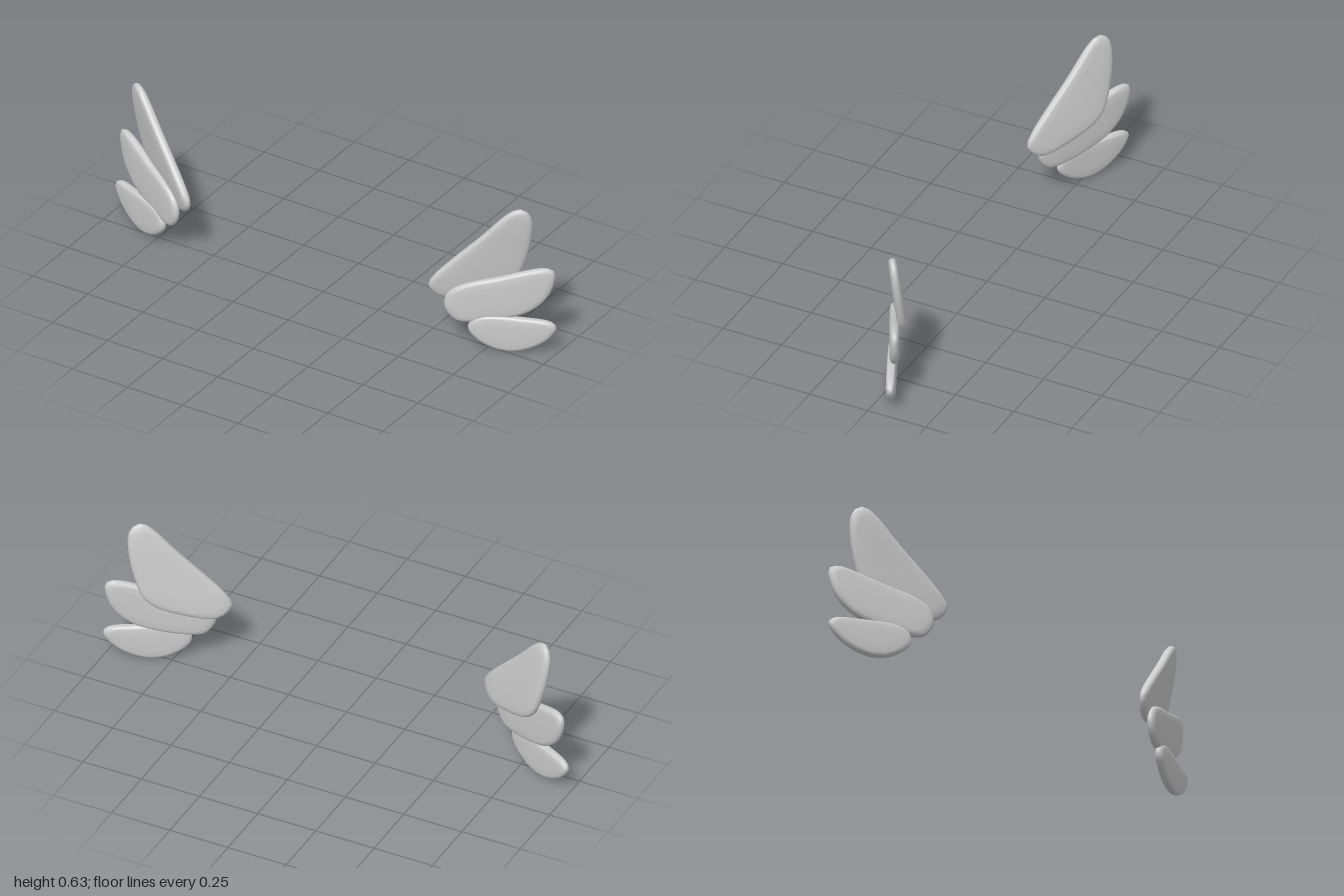
import * as THREE from 'three';
import { mergeVertices } from 'three/addons/utils/BufferGeometryUtils.js';

// Feathers of the left wing: clockwise outline (x, y), and the leaning
// plane z = z0 + bx * (x - x0) + by * (y - y0) through the inner tip
const FEATHERS = [
  {
    name: 'upperFeather', half: 0.02, origin: [0.545, 0.255, 0.103], slope: [-0.61, 0.15],
    outline: [[0.543, 0.262], [0.567, 0.31], [0.626, 0.38], [0.733, 0.497], [0.83, 0.608], [0.867, 0.63],
      [0.894, 0.615], [0.905, 0.58], [0.898, 0.495], [0.872, 0.39], [0.84, 0.31], [0.8, 0.27],
      [0.71, 0.23], [0.585, 0.208]],
  },
  {
    name: 'middleFeather', half: 0.02, origin: [0.605, 0.2, 0.088], slope: [-0.515, 0],
    outline: [[0.604, 0.195], [0.62, 0.245], [0.67, 0.28], [0.785, 0.317], [0.953, 0.367], [0.982, 0.355],
      [0.977, 0.285], [0.945, 0.22], [0.89, 0.17], [0.81, 0.138], [0.7, 0.117], [0.645, 0.121], [0.615, 0.155]],
  },
  {
    name: 'lowerFeather', half: 0.019, origin: [0.69, 0.09, 0.05], slope: [-0.47, 0],
    outline: [[0.689, 0.09], [0.702, 0.13], [0.74, 0.149], [0.89, 0.149], [0.98, 0.138], [0.999, 0.118],
      [0.975, 0.07], [0.92, 0.026], [0.85, 0.002], [0.785, 0.008], [0.72, 0.045]],
  },
];

// Rounded cushion cross-section: [outline scale, height] from rim to crown
const PROFILE = [[1, 0], [0.985, 0.42], [0.94, 0.72], [0.84, 0.9], [0.55, 0.98], [0, 1]];
const SIDES = 48;

function featherGeometry({ outline, origin, slope, half }, side) {
  const curve = new THREE.CatmullRomCurve3(
    outline.map(([x, y]) => new THREE.Vector3(x, y, 0)), true, 'centripetal');
  const rim = curve.getSpacedPoints(SIDES).slice(0, SIDES);
  const centre = rim.reduce((sum, p) => sum.add(p), new THREE.Vector3()).divideScalar(SIDES);
  const normal = new THREE.Vector3(-slope[0], -slope[1], 1).normalize();

  // Rings from the back crown, over the rim, to the front crown
  const back = PROFILE.slice(1).reverse().map(([s, h]) => [s, -h]);
  const rings = [...back, ...PROFILE];
  const positions = [];
  const indices = [];
  for (const [scale, height] of rings) {
    for (const edge of rim) {
      const p = centre.clone().lerp(edge, scale);
      p.z = origin[2] + slope[0] * (p.x - origin[0]) + slope[1] * (p.y - origin[1]);
      p.addScaledVector(normal, half * height);
      positions.push(side * p.x, p.y, p.z);
    }
  }
  for (let r = 0; r < rings.length - 1; r++) {
    for (let i = 0; i < SIDES; i++) {
      const a = r * SIDES + i;
      const b = r * SIDES + (i + 1) % SIDES;
      const c = a + SIDES;
      const d = b + SIDES;
      if (side > 0) indices.push(a, c, b, b, c, d);
      else indices.push(a, b, c, b, d, c);
    }
  }
  let geometry = new THREE.BufferGeometry();
  geometry.setAttribute('position', new THREE.Float32BufferAttribute(positions, 3));
  geometry.setIndex(indices);
  geometry = mergeVertices(geometry, 1e-5);
  geometry.computeVertexNormals();
  return geometry;
}

export function createModel() {
  const model = new THREE.Group();
  model.name = 'featherPair';
  const material = new THREE.MeshStandardMaterial({ color: 0xcccccc });

  // Mirrored wings, three overlapping feathers each
  for (const side of [1, -1]) {
    const wing = new THREE.Group();
    wing.name = side > 0 ? 'leftWing' : 'rightWing';
    for (const feather of FEATHERS) {
      const mesh = new THREE.Mesh(featherGeometry(feather, side), material);
      mesh.name = feather.name;
      wing.add(mesh);
    }
    model.add(wing);
  }
  return model;
}
